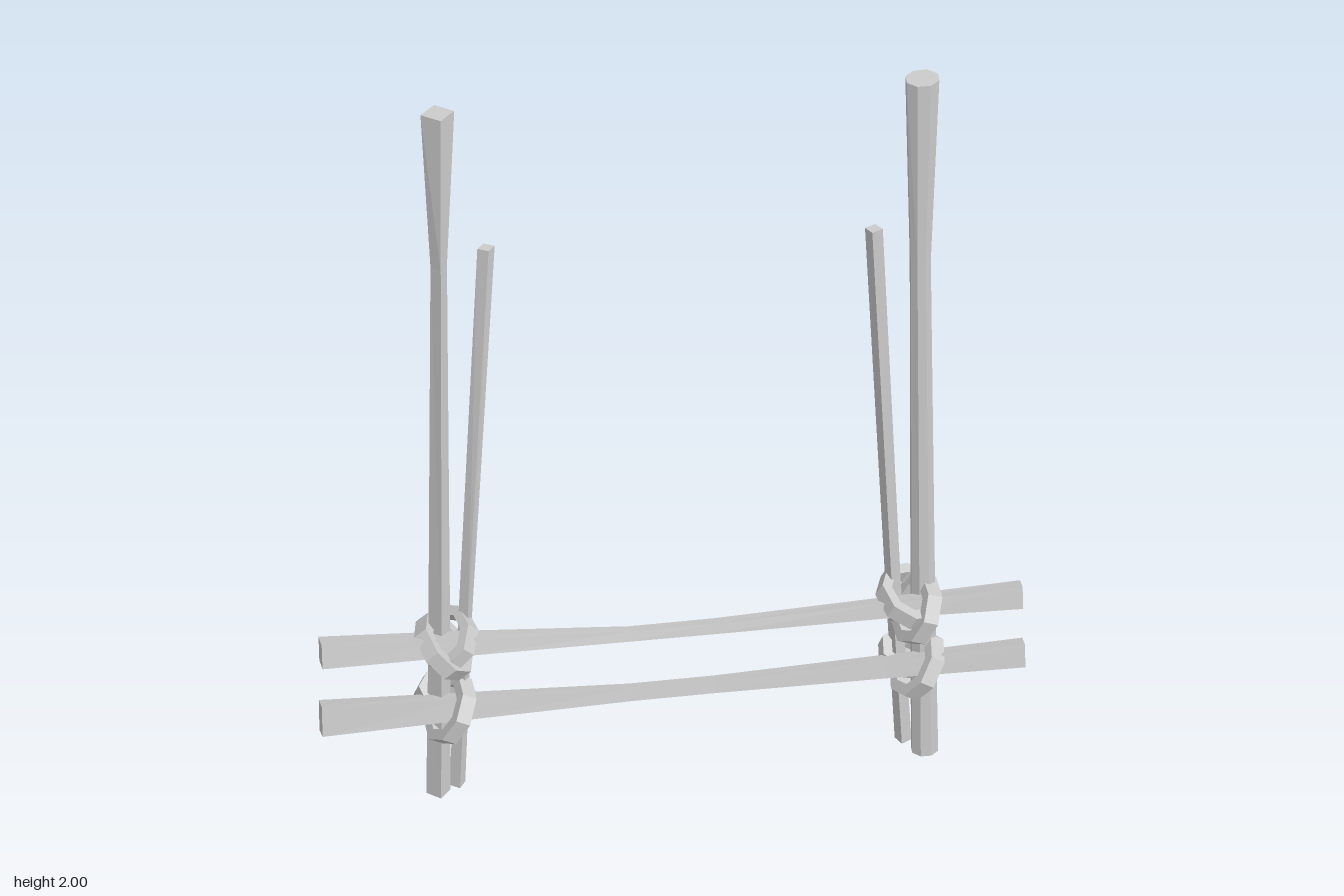
import * as THREE from 'three';

const wood = new THREE.MeshStandardMaterial({ color: 0xcccccc, flatShading: true });

// Lofts a faceted beam along 'x' or 'y'.
// Stations: [position along axis, x (or y), z, width (or height), depth]
function beam(name, axis, sides, turn, stations) {
  const k = sides === 4 ? Math.SQRT1_2 : 0.5;
  const place = (s, c, z) => (axis === 'y' ? [c, s, z] : [s, c, z]);
  const rings = stations.map(([s, c, z, w, d]) =>
    Array.from({ length: sides }, (_, i) => {
      const a = ((i + 0.5) / sides) * Math.PI * 2 + turn;
      const [p, q] = axis === 'y' ? [Math.cos(a), Math.sin(a)] : [Math.sin(a), Math.cos(a)];
      return place(s, c + p * w * k, z + q * d * k);
    }));
  const pos = [];
  const tri = (...pts) => pts.forEach((p) => pos.push(...p));
  const last = rings.length - 1;
  const centre = (i) => place(stations[i][0], stations[i][1], stations[i][2]);
  for (let j = 0; j < sides; j++) {
    const n = (j + 1) % sides;
    for (let i = 0; i < last; i++) {
      tri(rings[i][j], rings[i + 1][j], rings[i + 1][n]);
      tri(rings[i][j], rings[i + 1][n], rings[i][n]);
    }
    tri(centre(0), rings[0][j], rings[0][n]);
    tri(centre(last), rings[last][n], rings[last][j]);
  }
  const geo = new THREE.BufferGeometry();
  geo.setAttribute('position', new THREE.Float32BufferAttribute(pos, 3));
  geo.computeVertexNormals();
  const mesh = new THREE.Mesh(geo, wood);
  mesh.name = name;
  return mesh;
}

// Chunky rope loop: a flat band turned into a ring, then tilted across the joint
function ropeLoop(x, y, z, rx, rz, tilt, lean, phase) {
  const inner = 0.68, h = 0.019;
  const profile = [[inner, -h], [1, -h], [1, h], [inner, h], [inner, -h]]
    .map(([r, v]) => new THREE.Vector2(r, v));
  const geo = new THREE.LatheGeometry(profile, 8, phase);
  geo.scale(rx, 1, rz);
  geo.rotateX(lean);
  geo.rotateZ(tilt);
  const mesh = new THREE.Mesh(geo, wood);
  mesh.name = 'ropeLoop';
  mesh.position.set(x, y, z);
  return mesh;
}

function lashing(name, loops) {
  const g = new THREE.Group();
  g.name = name;
  loops.forEach((l) => g.add(ropeLoop(...l)));
  return g;
}

export function createModel() {
  const model = new THREE.Group();

  // Tall posts: one squared and set cornerwise, one rounded
  model.add(
    beam('rightPost', 'y', 4, 0.7, [
      [0, -0.548, -0.008, 0.041, 0.041],
      [0.45, -0.546, -0.008, 0.037, 0.038],
      [1.55, -0.547, -0.01, 0.028, 0.032],
      [2, -0.55, -0.012, 0.057, 0.045],
    ]),
    beam('leftPost', 'y', 8, 0, [
      [0, 0.597, -0.015, 0.066, 0.062],
      [0.45, 0.593, -0.015, 0.06, 0.057],
      [1.45, 0.587, -0.015, 0.051, 0.051],
      [1.98, 0.592, -0.016, 0.083, 0.068],
    ]));

  // Slim leaning poles beside the posts
  model.add(
    beam('rightPole', 'y', 4, 0.6, [
      [0.01, -0.502, -0.02, 0.028, 0.03],
      [0.5, -0.482, -0.028, 0.024, 0.026],
      [1.56, -0.43, -0.052, 0.03, 0.022],
    ]),
    beam('leftPole', 'y', 4, -0.5, [
      [0.01, 0.551, -0.048, 0.028, 0.03],
      [0.5, 0.525, -0.036, 0.026, 0.027],
      [1.56, 0.476, -0.001, 0.03, 0.024],
    ]));

  // Cross rails, rolled slightly back, thin in the middle and thick at the ends
  model.add(
    beam('upperRail', 'x', 4, 0.25, [
      [-0.83, 0.463, 0.025, 0.06, 0.057],
      [-0.5, 0.453, 0.021, 0.045, 0.046],
      [-0.1, 0.435, 0.015, 0.024, 0.03],
      [0.1, 0.437, 0.015, 0.026, 0.03],
      [0.5, 0.453, 0.02, 0.039, 0.037],
      [0.82, 0.463, 0.026, 0.058, 0.046],
    ]),
    beam('lowerRail', 'x', 4, 0.25, [
      [-0.83, 0.272, 0.028, 0.08, 0.055],
      [-0.5, 0.268, 0.022, 0.054, 0.047],
      [-0.1, 0.264, 0.017, 0.032, 0.031],
      [0.1, 0.267, 0.017, 0.032, 0.031],
      [0.5, 0.281, 0.022, 0.046, 0.039],
      [0.825, 0.293, 0.028, 0.062, 0.046],
    ]));

  // Rope lashings: [x, y, z, radius across, radius in depth, tilt, lean, phase]
  model.add(
    lashing('upperRightLashing', [
      [-0.538, 0.435, 0.004, 0.084, 0.088, -0.82, 0.1, 0.2],
      [-0.526, 0.452, -0.005, 0.075, 0.086, 0.75, 0.25, 0.5],
    ]),
    lashing('lowerRightLashing', [
      [-0.522, 0.25, 0.005, 0.085, 0.086, 1.05, 0.1, 0.3],
      [-0.528, 0.268, -0.026, 0.073, 0.064, -0.3, 0.4, 0],
    ]),
    lashing('upperLeftLashing', [
      [0.576, 0.43, 0.004, 0.086, 0.088, 1.12, 0.15, 0.3],
      [0.558, 0.462, -0.006, 0.078, 0.086, -0.45, 0.2, 0.1],
    ]),
    lashing('lowerLeftLashing', [
      [0.577, 0.267, 0.004, 0.084, 0.087, 0.95, 0.1, 0.1],
      [0.562, 0.28, -0.026, 0.074, 0.064, -0.25, 0.35, 0.4],
    ]));

  return model;
}
